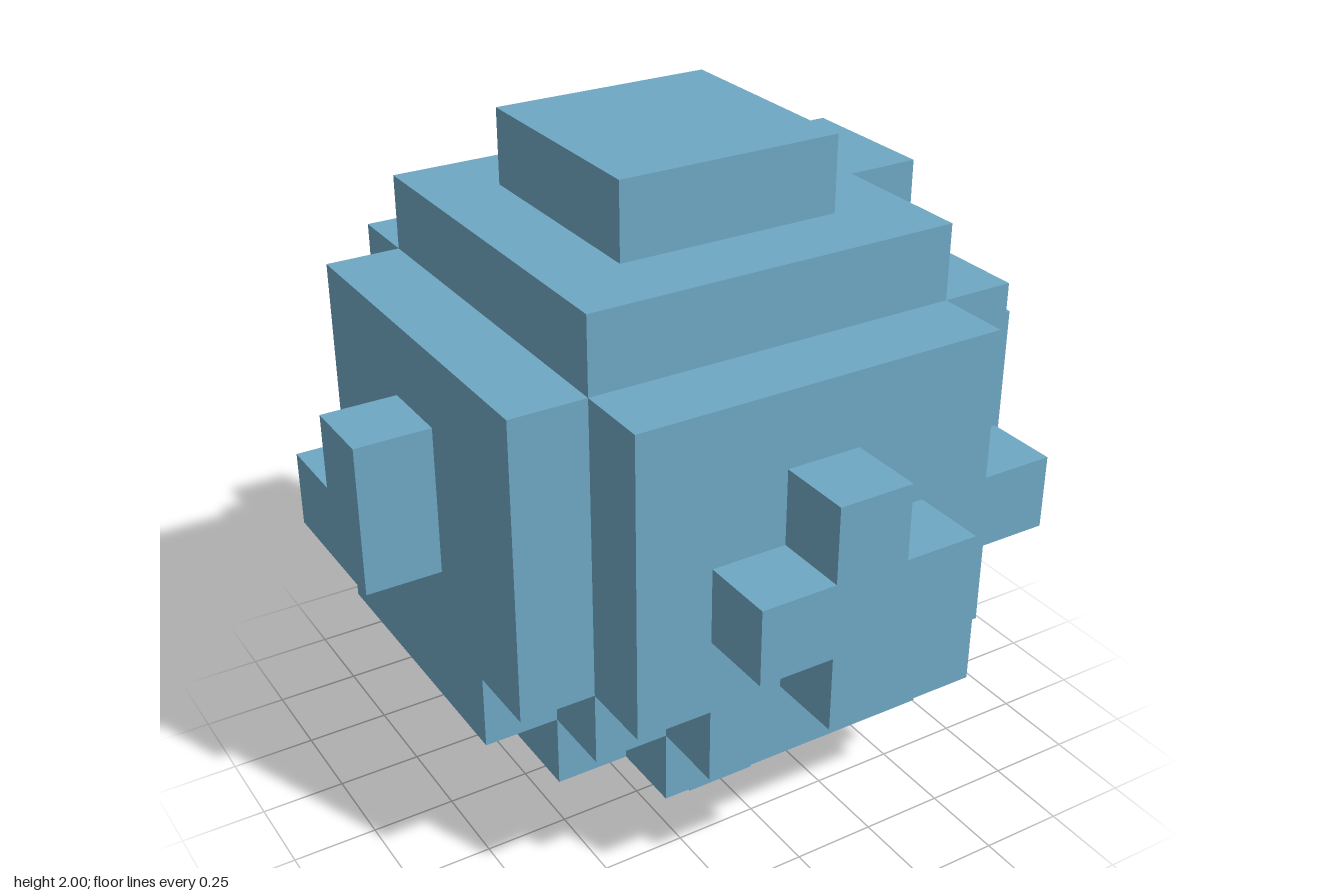
import * as THREE from 'three';

const CELL = 2 / 9; // the whole model sits on a 9 x 9 x 9 cell grid

// u, v and outward normal for each side of the cube
const SIDES = {
  front: [[1, 0, 0], [0, 1, 0], [0, 0, 1]],
  back: [[-1, 0, 0], [0, 1, 0], [0, 0, -1]],
  left: [[0, 0, -1], [0, 1, 0], [1, 0, 0]],
  right: [[0, 0, 1], [0, 1, 0], [-1, 0, 0]],
  top: [[1, 0, 0], [0, 0, -1], [0, 1, 0]],
  bottom: [[1, 0, 0], [0, 0, 1], [0, -1, 0]],
};

const square = (h) => [[-h, -h], [h, -h], [h, h], [-h, h]];

// 5 x 5 square with one cell cut from the corner at (-1, -1) * signs
const notched = (su, sv) =>
  [[-1.5, -2.5], [2.5, -2.5], [2.5, 2.5], [-2.5, 2.5], [-2.5, -1.5], [-1.5, -1.5]]
    .map(([u, v]) => [u * su, v * sv]);

const CROSS = [
  [-0.5, -1.5], [0.5, -1.5], [0.5, -0.5], [1.5, -0.5], [1.5, 0.5], [0.5, 0.5],
  [0.5, 1.5], [-0.5, 1.5], [-0.5, 0.5], [-1.5, 0.5], [-1.5, -0.5], [-0.5, -0.5],
];
const TEE = [
  [-0.5, -1.5], [0.5, -1.5], [0.5, -0.5], [1.5, -0.5],
  [1.5, 0.5], [0.5, 0.5], [0.5, 1.5], [-0.5, 1.5],
];
const ELL = [[-1.5, -0.5], [0.5, -0.5], [0.5, 1.5], [-0.5, 1.5], [-0.5, 0.5], [-1.5, 0.5]];

export function createModel() {
  const model = new THREE.Group();
  model.name = 'blockBall';
  const blue = new THREE.MeshStandardMaterial({ color: 0x6fa8c4 });
  blue.name = 'blue';

  const add = (name, geometry) => {
    geometry.scale(CELL, CELL, CELL).translate(0, 1, 0);
    const mesh = new THREE.Mesh(geometry, blue);
    mesh.name = name;
    model.add(mesh);
  };

  const block = (name, size, center) =>
    add(name, new THREE.BoxGeometry(...size).translate(...center));

  // one-cell-thick outline standing on a side, starting at a given distance
  const slab = (name, side, outline, start) => {
    const shape = new THREE.Shape(outline.map(([u, v]) => new THREE.Vector2(u, v)));
    const geometry = new THREE.ExtrudeGeometry(shape, { depth: 1, bevelEnabled: false });
    geometry.translate(0, 0, start);
    const basis = SIDES[side].map((a) => new THREE.Vector3(...a));
    geometry.applyMatrix4(new THREE.Matrix4().makeBasis(...basis));
    add(name, geometry);
  };

  block('core', [5, 5, 5], [0, 0, 0]);

  // wide layer on each side; three share a notched corner
  const layers = { front: notched(1, 1), right: notched(-1, 1), bottom: notched(1, -1) };
  // small raised plate on each layer
  const plates = { front: CROSS, right: ELL, bottom: TEE };
  for (const side of Object.keys(SIDES)) {
    slab(side + 'Layer', side, layers[side] ?? square(2.5), 2.5);
    slab(side + 'Plate', side, plates[side] ?? square(1.5), 3.5);
  }

  // studs filling parts of the grooves between layers
  block('frontCornerStud', [1, 1, 1], [3, 0, 3]);
  block('backCornerStud', [1, 1, 1], [3, 0, -3]);
  block('topBackStud', [1, 1, 1], [0, 3, -3]);
  block('topSideStud', [1, 1, 2], [3, 3, -0.5]);

  return model;
}
